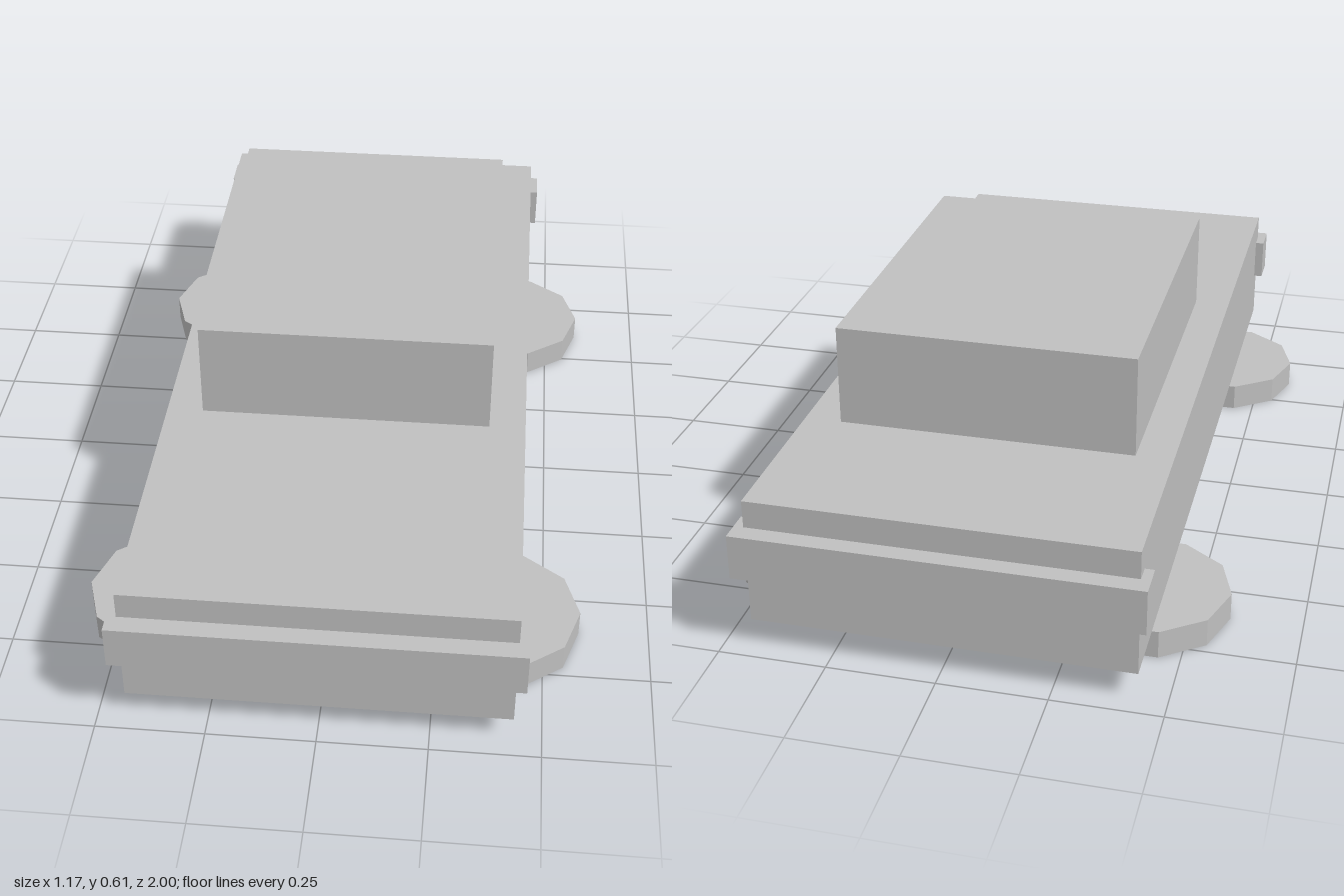
import * as THREE from 'three';

export function createModel() {
  const car = new THREE.Group();
  car.name = 'car';

  const grey = new THREE.MeshStandardMaterial({ color: 0xc0c0c0, flatShading: true });
  grey.name = 'light grey';

  function add(name, geometry, x, y, z) {
    const mesh = new THREE.Mesh(geometry, grey);
    mesh.name = name;
    mesh.position.set(x, y, z);
    car.add(mesh);
  }

  // Body and cabin
  add('body', new THREE.BoxGeometry(0.87, 0.302, 1.914), 0, 0.219, 0);
  add('cabin', new THREE.BoxGeometry(0.696, 0.24, 0.87), 0, 0.49, -0.13);

  // Bumpers wrap around both ends of the body
  const bumper = new THREE.BoxGeometry(0.914, 0.106, 0.084);
  add('frontBumper', bumper, 0, 0.252, 0.958);
  add('rearBumper', bumper, 0, 0.252, -0.958);

  // Ten-sided wheels lying flat under the corners, a corner pointing outwards
  const wheel = new THREE.CylinderGeometry(0.195, 0.195, 0.067, 10).rotateY(Math.PI / 2);
  for (const [side, x] of [['Left', 0.39], ['Right', -0.39]]) {
    add('front' + side + 'Wheel', wheel, x, 0.0335, 0.61);
    add('rear' + side + 'Wheel', wheel, x, 0.0335, -0.61);
  }

  return car;
}
